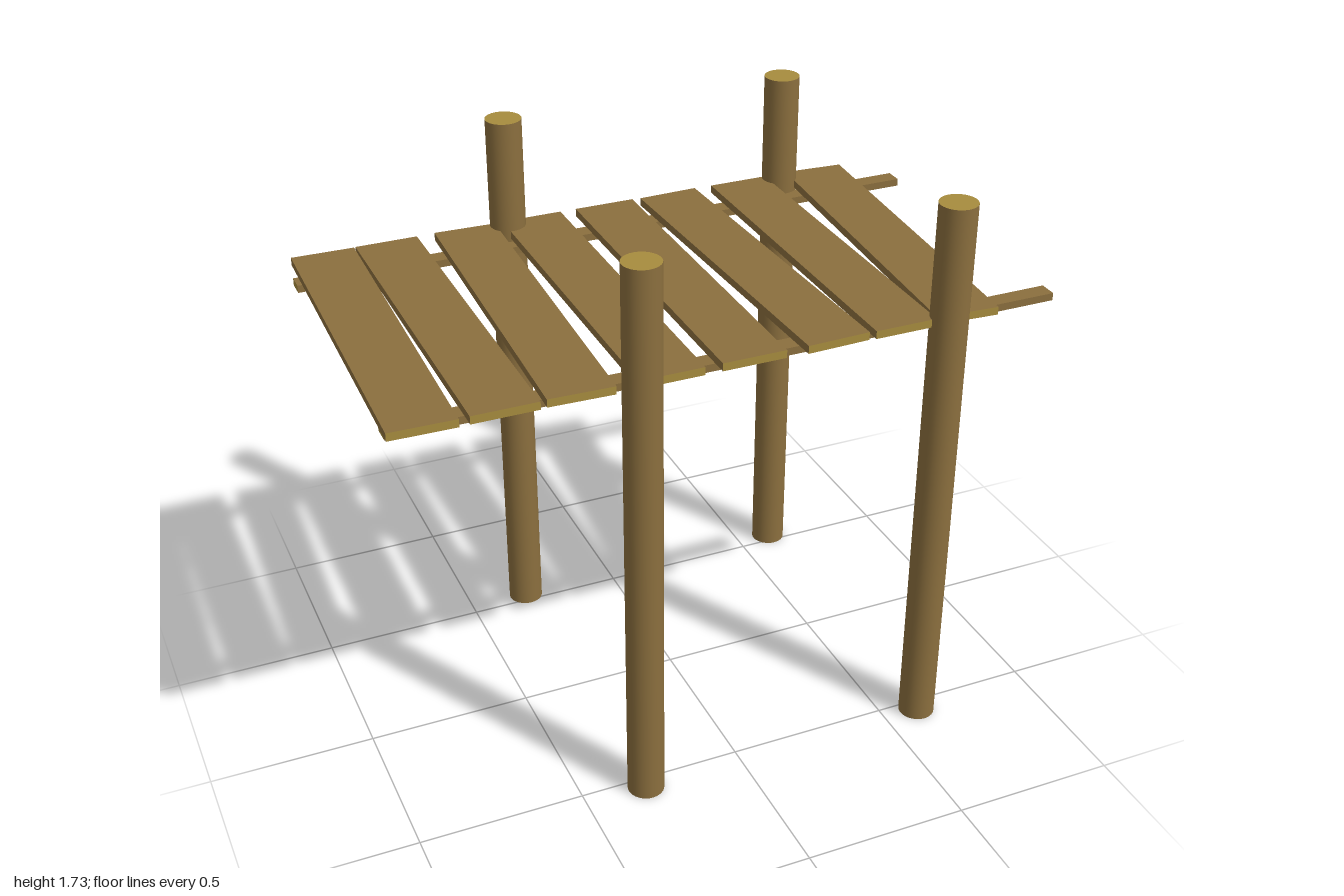
import * as THREE from 'three';

const wood = new THREE.MeshStandardMaterial({ color: 0x8b6f3e });
const cutEnd = new THREE.MeshStandardMaterial({ color: 0xa78c3e });

function add(group, name, geometry, materials, x, y, z) {
  const mesh = new THREE.Mesh(geometry, materials);
  mesh.name = name;
  mesh.position.set(x, y, z);
  group.add(mesh);
  return mesh;
}

export function createModel() {
  const model = new THREE.Group();
  model.name = 'woodenPlatform';

  // Four round posts with pale sawn ends
  const postHeight = 1.73;
  const postGeometry = new THREE.CylinderGeometry(0.055, 0.055, postHeight, 32);
  for (const x of [-0.31, 0.613]) {
    for (const z of [-0.535, 0.535]) {
      add(model, 'post', postGeometry, [wood, cutEnd, cutEnd], x, postHeight / 2, z);
    }
  }

  // Two long beams carrying the deck
  const beamGeometry = new THREE.BoxGeometry(1.99, 0.023, 0.054);
  for (const z of [-0.467, 0.443]) {
    add(model, 'beam', beamGeometry, [cutEnd, cutEnd, wood, wood, wood, wood], 0.005, 1.341, z);
  }

  // Deck planks: [centre x, turn about the vertical], some laid crooked
  const planks = [
    [-0.894, -0.022], [-0.687, 0], [-0.46, -0.035], [-0.225, 0],
    [0.016, 0], [0.251, 0.034], [0.479, 0], [0.71, -0.066],
  ];
  const plankGeometry = new THREE.BoxGeometry(0.19, 0.024, 1.095);
  for (const [x, turn] of planks) {
    const plank = add(model, 'plank', plankGeometry, [wood, wood, wood, wood, cutEnd, cutEnd], x, 1.375, -0.012);
    plank.rotation.y = turn;
  }

  return model;
}
